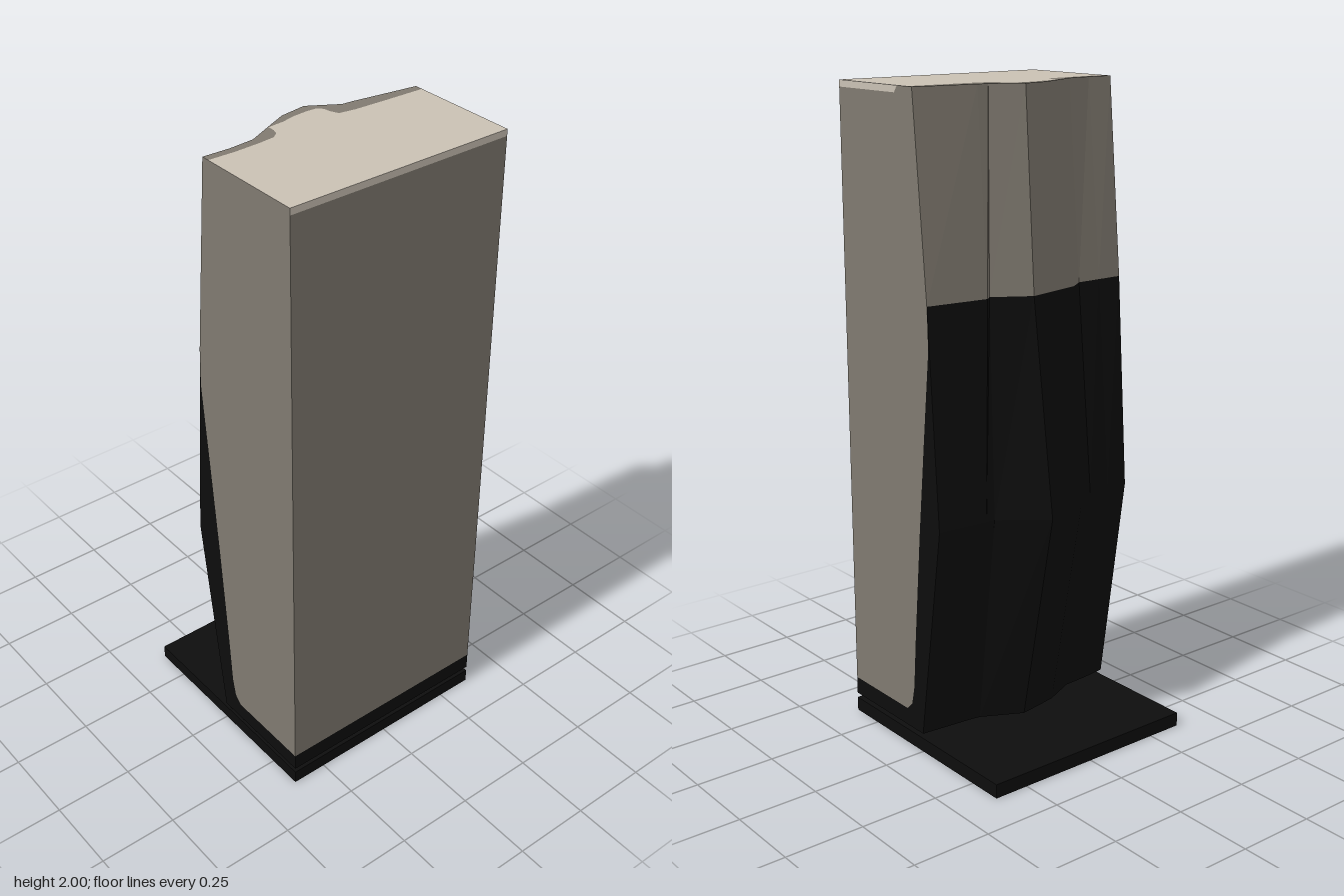
import * as THREE from 'three';

const W = 0.363; // half width, and the front face depth

function material(name, color, flatShading = false) {
  const m = new THREE.MeshStandardMaterial({ color, side: THREE.DoubleSide, flatShading });
  m.name = name;
  return m;
}

export function createModel() {
  const group = new THREE.Group();
  const stone = material('taupe stone', 0x807a70, true);
  const cream = material('pale cream', 0xcac1b4);
  const black = material('black', 0x0d0d0d, true);

  const add = (name, geometry, mat) => {
    const mesh = new THREE.Mesh(geometry, mat);
    mesh.name = name;
    group.add(mesh);
    return mesh;
  };
  const polygon = (points) =>
    new THREE.ShapeGeometry(new THREE.Shape(points.map(([a, b]) => new THREE.Vector2(a, b))));
  // Flat panels from outlines: front in (x, y), side in (z, y), top in (x, z)
  const frontPanel = (name, y0, y1, mat) =>
    add(name, polygon([[-W, y0], [W, y0], [W, y1], [-W, y1]]).translate(0, 0, W), mat);
  const sidePanel = (name, points, s, mat) =>
    add(name, polygon(points.map(([z, y]) => [-s * z, y])).rotateY(s * Math.PI / 2).translate(s * W, 0, 0), mat);
  const topPanel = (name, points, y, mat) =>
    add(name, polygon(points.map(([x, z]) => [x, -z])).rotateX(-Math.PI / 2).translate(0, y, 0), mat);

  // Base plate, separated from the slab by a narrow gap
  add('basePlate', new THREE.BoxGeometry(2 * W, 0.044, 2 * W).translate(0, 0.022, 0), black);

  // Rough back: rows of [x, z] from bottom to top
  const heights = [0.06, 0.74, 1.4, 2];
  const rows = [
    [[-W, 0], [-0.28, -0.01], [-0.2, -0.015], [-0.1, -0.06], [-0.05, -0.07], [0.035, -0.085], [0.16, -0.02], [0.19, -0.015], [W, 0]],
    [[-W, -0.1], [-0.28, -0.11], [-0.2, -0.12], [-0.1, -0.19], [-0.05, -0.2], [0.035, -0.218], [0.17, -0.112], [0.2, -0.112], [W, -0.1]],
    [[-W, -0.055], [-0.28, -0.055], [-0.2, -0.055], [-0.15, -0.09], [-0.05, -0.11], [0.035, -0.128], [0.145, -0.06], [0.165, -0.077], [W, -0.055]],
    [[-W, 0], [-0.28, 0.003], [-0.2, -0.003], [-0.12, -0.042], [-0.05, -0.075], [0.035, -0.088], [0.125, -0.033], [0.16, -0.03], [W, 0]],
  ];
  const backSurface = (name, from, to, mat) => {
    const pos = [];
    const corner = (r, c) => [rows[r][c][0], heights[r], rows[r][c][1]];
    for (let r = from; r < to; r++) {
      for (let c = 0; c < rows[r].length - 1; c++) {
        const a = corner(r, c), b = corner(r, c + 1), d = corner(r + 1, c), e = corner(r + 1, c + 1);
        pos.push(...a, ...d, ...b, ...b, ...d, ...e);
      }
    }
    const g = new THREE.BufferGeometry();
    g.setAttribute('position', new THREE.Float32BufferAttribute(pos, 3));
    g.computeVertexNormals();
    add(name, g, mat);
  };
  backSurface('lowerBack', 0, 2, black);
  backSurface('upperBack', 2, 3, stone);

  // Front face with dark foot and pale upper edge
  frontPanel('frontFoot', 0.06, 0.115, black);
  frontPanel('frontFace', 0.115, 1.98, stone);
  frontPanel('frontTopEdge', 1.98, 2, cream);

  // Sides: the dark area sweeps up from the foot along the back edge
  const sweep = [[W, 0.115], [0.08, 0.115], [0.055, 0.14], [0.042, 0.2], [0.03, 0.36], [0, 0.7], [-0.03, 1.0], [-0.058, 1.27], [-0.055, 1.4]];
  for (const s of [1, -1]) {
    const side = s > 0 ? 'left' : 'right';
    sidePanel(side + 'SideDark', [...sweep, [-0.1, 0.74], [0, 0.06], [W, 0.06]], s, black);
    const upper = s > 0 ? [[0, 2], [0.07, 2], [0.085, 1.98], [W, 1.98]] : [[0, 2], [W, 2]];
    sidePanel(side + 'SideFace', [...sweep, ...upper], s, stone);
  }
  sidePanel('leftSideTopEdge', [[W, 1.98], [W, 2], [0.07, 2], [0.085, 1.98]], 1, cream);

  // Top: pale field with a rounded tongue, and a stone border behind it
  const edge = [[-W, 0.025], [-0.28, 0.028], [-0.2, 0.025], [-0.15, 0.02], [-0.13, 0.005], [-0.123, -0.015], [-0.123, -0.038],
    [-0.07, -0.042], [-0.03, -0.052], [0.02, -0.056], [0.05, -0.054], [0.065, -0.04], [0.07, -0.015], [0.08, 0.008], [0.13, 0.016], [0.24, 0.021], [W, 0.025]];
  topPanel('topFace', [...edge, [W, W], [-W, W]], 2, cream);
  topPanel('topBorder', [...edge, ...rows[3].slice().reverse()], 2, stone);

  // Underside of the slab
  topPanel('underside', [...rows[0], [W, W], [-W, W]], 0.06, black);

  return group;
}
